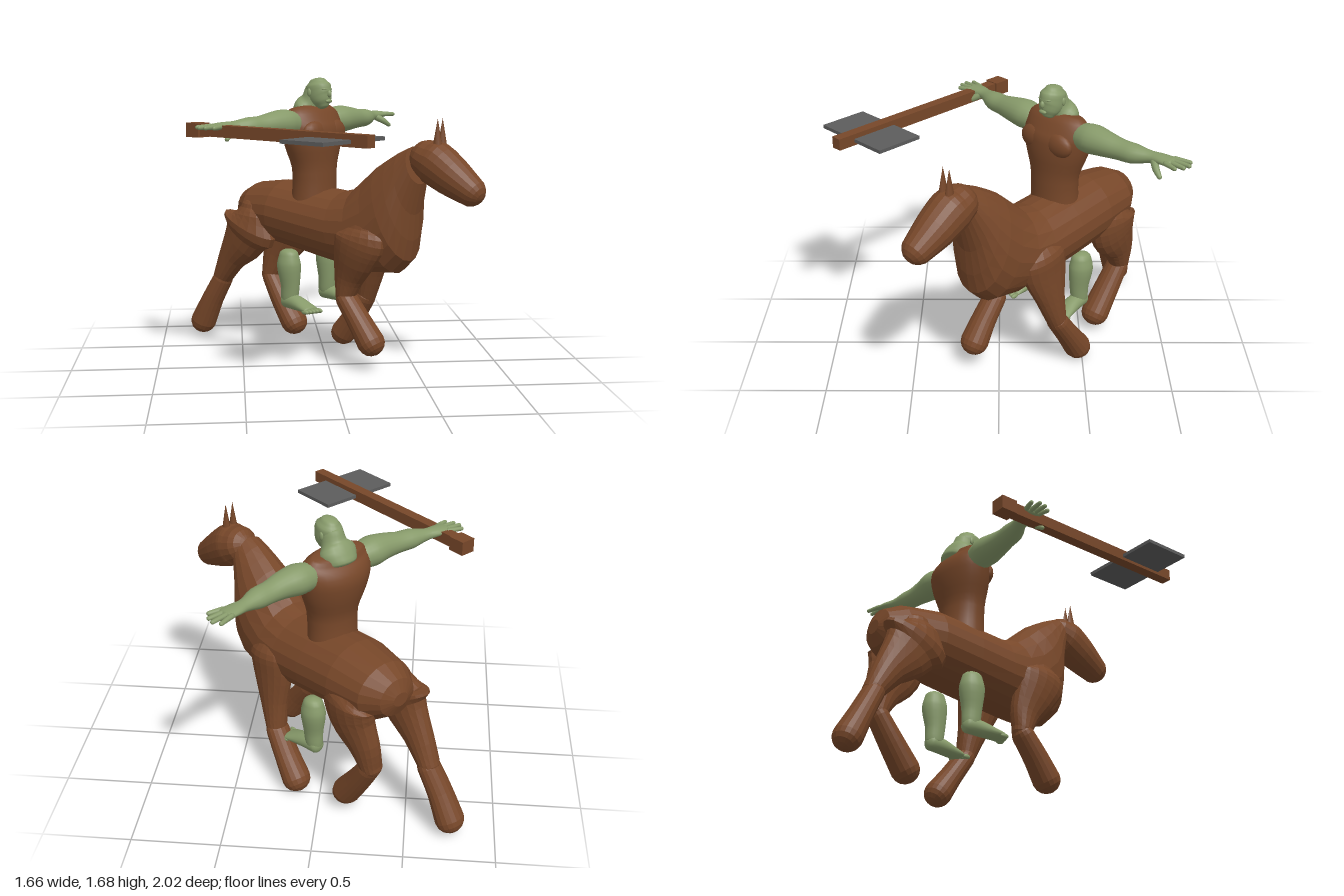
import * as THREE from 'three';

const brown = new THREE.MeshStandardMaterial({ color: 0x774729 });
brown.name = 'brown';
const green = new THREE.MeshStandardMaterial({ color: 0x879a6a });
green.name = 'green skin';
const grey = new THREE.MeshStandardMaterial({ color: 0x5c5c5c });
grey.name = 'dark grey';

const V = (x, y, z) => new THREE.Vector3(x, y, z);

// Closed skin over elliptical rings { c, a, b }: centre and two half axes
function loft(rings, n, flat) {
  const pos = [], idx = [];
  for (const { c, a, b } of rings) {
    for (let j = 0; j < n; j++) {
      const t = (j / n) * Math.PI * 2;
      pos.push(...c.clone().addScaledVector(a, Math.cos(t)).addScaledVector(b, Math.sin(t)));
    }
  }
  const last = rings.length - 1, s = pos.length / 3;
  pos.push(...rings[0].c, ...rings[last].c);
  for (let j = 0; j < n; j++) {
    const k = (j + 1) % n;
    idx.push(s, k, j, s + 1, last * n + j, last * n + k);
    for (let i = 0; i < last; i++) {
      const p = i * n + j, q = i * n + k;
      idx.push(p, q, p + n, q, q + n, p + n);
    }
  }
  let g = new THREE.BufferGeometry();
  g.setAttribute('position', new THREE.Float32BufferAttribute(pos, 3));
  g.setIndex(idx);
  if (flat) g = g.toNonIndexed();
  g.computeVertexNormals();
  return g;
}

// Round-ended limb through stations [x, y, z, radius along ref, other radius]
function limb(stations, { ref = V(1, 0, 0), n = 20, steps = 3, dome = 1, flat = false } = {}) {
  const path = new THREE.CatmullRomCurve3(stations.map(s => V(s[0], s[1], s[2])));
  const size = new THREE.CatmullRomCurve3(stations.map(s => V(s[3], s[4] ?? s[3], 0)));
  const rings = [], count = (stations.length - 1) * steps;
  const add = (t, shift, k) => {
    const T = path.getTangent(t), r = size.getPoint(t);
    const a = ref.clone().addScaledVector(T, -ref.dot(T)).normalize();
    const b = T.clone().cross(a);
    const c = path.getPoint(t).addScaledVector(T, shift * Math.min(r.x, r.y) * dome);
    rings.push({ c, a: a.multiplyScalar(r.x * k), b: b.multiplyScalar(r.y * k) });
  };
  const caps = [1.45, 1.1, 0.75, 0.4];
  caps.forEach(q => add(0, -Math.sin(q), Math.cos(q)));
  for (let i = 0; i <= count; i++) add(i / count, 0, 1);
  caps.reverse().forEach(q => add(1, Math.sin(q), Math.cos(q)));
  return loft(rings, n, flat);
}

function part(parent, name, geometry, material, x = 0, y = 0, z = 0) {
  const m = new THREE.Mesh(geometry, material);
  m.name = name;
  m.position.set(x, y, z);
  parent.add(m);
  return m;
}

function blob(parent, name, material, p, r) {
  const m = part(parent, name, new THREE.SphereGeometry(1, 18, 12), material, ...p);
  m.scale.set(...r);
}

function buildHorse() {
  const horse = new THREE.Group();
  horse.name = 'horse';
  const flat = { flat: true, n: 18 };

  // Body and neck: [bottom z, bottom y, top z, top y, half width]
  const sections = [
    [-0.85, 0.82, -0.85, 0.90, 0.05], [-0.82, 0.75, -0.82, 0.97, 0.12],
    [-0.72, 0.68, -0.72, 1.02, 0.19], [-0.50, 0.65, -0.50, 1.05, 0.225],
    [-0.25, 0.615, -0.25, 1.03, 0.23], [0.0, 0.58, -0.04, 1.015, 0.23],
    [0.20, 0.555, 0.06, 1.04, 0.225], [0.36, 0.57, 0.15, 1.12, 0.21],
    [0.44, 0.65, 0.23, 1.19, 0.195], [0.46, 0.77, 0.31, 1.24, 0.17],
    [0.47, 0.92, 0.38, 1.28, 0.14], [0.51, 1.10, 0.45, 1.31, 0.105],
  ];
  const body = sections.map(([bz, by, tz, ty, w]) => ({
    c: V(0.01, (by + ty) / 2, (bz + tz) / 2),
    a: V(w, 0, 0),
    b: V(0, (ty - by) / 2, (tz - bz) / 2),
  }));
  part(horse, 'horse body', loft(body, 20, true), brown);

  // Head and ears
  part(horse, 'horse head', limb([
    [0.035, 1.24, 0.54, 0.112, 0.11], [0.035, 1.22, 0.59, 0.12, 0.128],
    [0.035, 1.155, 0.70, 0.112, 0.115], [0.035, 1.085, 0.82, 0.088, 0.087],
  ], flat), brown);
  for (const s of [-1, 1]) {
    const ear = part(horse, 'horse ear', new THREE.ConeGeometry(0.026, 0.18, 8), brown, 0.035 + s * 0.024, 1.385, 0.615);
    ear.scale.z = 1.35;
  }

  // Legs: upper and lower stations for a gallop
  const legs = {
    rightHind: [
      [[-0.14, 0.87, -0.66, 0.06, 0.09], [-0.15, 0.8, -0.665, 0.09, 0.165], [-0.15, 0.7, -0.71, 0.09, 0.165], [-0.15, 0.55, -0.83, 0.075, 0.1], [-0.15, 0.41, -0.92, 0.065, 0.062]],
      [[-0.15, 0.39, -0.925, 0.07, 0.06], [-0.17, 0.25, -1.0, 0.076, 0.066], [-0.18, 0.1, -1.075, 0.085, 0.08]]],
    leftHind: [
      [[0.15, 0.84, -0.61, 0.06, 0.12], [0.155, 0.78, -0.6, 0.09, 0.185], [0.15, 0.69, -0.62, 0.09, 0.17], [0.13, 0.54, -0.7, 0.075, 0.11], [0.11, 0.41, -0.74, 0.065, 0.062]],
      [[0.11, 0.39, -0.73, 0.07, 0.06], [0.105, 0.25, -0.635, 0.08, 0.07], [0.105, 0.12, -0.54, 0.088, 0.08]]],
    rightFront: [
      [[-0.15, 0.83, 0.2, 0.06, 0.14], [-0.16, 0.77, 0.195, 0.085, 0.18], [-0.16, 0.69, 0.17, 0.082, 0.155], [-0.14, 0.54, 0.11, 0.07, 0.1], [-0.14, 0.43, 0.085, 0.062, 0.06]],
      [[-0.14, 0.4, 0.095, 0.07, 0.062], [-0.14, 0.28, 0.19, 0.076, 0.07], [-0.135, 0.17, 0.27, 0.085, 0.08]]],
    leftFront: [
      [[0.17, 0.86, 0.05, 0.05, 0.09], [0.185, 0.78, 0.04, 0.085, 0.165], [0.19, 0.69, 0.025, 0.082, 0.155], [0.21, 0.5, -0.01, 0.07, 0.095], [0.225, 0.35, -0.045, 0.062, 0.06]],
      [[0.225, 0.33, -0.055, 0.07, 0.06], [0.23, 0.2, -0.145, 0.076, 0.066], [0.23, 0.08, -0.23, 0.085, 0.079]]],
  };
  for (const [name, [upper, lower]] of Object.entries(legs)) {
    part(horse, name + 'UpperLeg', limb(upper, flat), brown);
    part(horse, name + 'LowerLeg', limb(lower, flat), brown);
  }
  return horse;
}

function buildRider() {
  const rider = new THREE.Group();
  rider.name = 'rider';
  rider.position.x = -0.012;

  // Sleeveless top with chest
  part(rider, 'sleeveless top', limb([
    [0, 0.92, -0.27, 0.155, 0.13], [0, 1.05, -0.265, 0.148, 0.12], [0, 1.15, -0.265, 0.155, 0.12],
    [0, 1.28, -0.275, 0.2, 0.142], [0, 1.38, -0.285, 0.222, 0.145], [0, 1.46, -0.29, 0.215, 0.105],
    [0, 1.5, -0.3, 0.175, 0.07],
  ], { n: 28, dome: 0.2 }), brown);

  // Neck, head and face
  part(rider, 'neck', limb([
    [0, 1.455, -0.32, 0.1, 0.09], [0, 1.51, -0.3, 0.112, 0.08],
    [0, 1.55, -0.275, 0.07, 0.07], [0, 1.61, -0.255, 0.058, 0.065],
  ], { dome: 0.3 }), green);
  part(rider, 'head', limb([
    [0, 1.515, -0.195, 0.036, 0.035], [0, 1.54, -0.205, 0.056, 0.062], [0, 1.58, -0.225, 0.066, 0.083],
    [0, 1.63, -0.235, 0.066, 0.082], [0, 1.66, -0.24, 0.044, 0.055],
  ], { dome: 0.45 }), green);
  blob(rider, 'brow', green, [0, 1.615, -0.168], [0.045, 0.011, 0.018]);
  blob(rider, 'nose', green, [0, 1.588, -0.15], [0.014, 0.022, 0.016]);
  blob(rider, 'mouth', green, [0, 1.545, -0.152], [0.026, 0.012, 0.013]);

  for (const s of [-1, 1]) {
    blob(rider, 'ear', green, [s * 0.066, 1.595, -0.25], [0.009, 0.024, 0.015]);
    blob(rider, 'chest muscle', brown, [s * 0.085, 1.36, -0.19], [0.1, 0.075, 0.05]);

    // Outstretched arm and hand
    const across = { ref: V(0, 0, 1) };
    part(rider, 'arm', limb([
      [s * 0.2, 1.415, -0.285, 0.08, 0.078], [s * 0.26, 1.42, -0.285, 0.09, 0.083],
      [s * 0.35, 1.42, -0.285, 0.077, 0.072], [s * 0.45, 1.415, -0.295, 0.063, 0.058],
      [s * 0.53, 1.415, -0.305, 0.062, 0.055], [s * 0.63, 1.42, -0.33, 0.039, 0.032],
      [s * 0.69, 1.424, -0.34, 0.048, 0.026], [s * 0.75, 1.425, -0.345, 0.055, 0.02],
    ], across), green);
    for (let i = 0; i < 4; i++) {
      const z = (i - 1.5) * 0.028;
      const tip = [0.825, 0.848, 0.842, 0.815][i];
      part(rider, 'finger', limb([
        [s * 0.745, 1.427, -0.345 + z, 0.015], [s * tip, 1.424, -0.35 + z * 1.45, 0.012],
      ], { ...across, n: 10 }), green);
    }
    part(rider, 'thumb', limb([
      [s * 0.66, 1.415, -0.315, 0.022], [s * 0.705, 1.385, -0.28, 0.019], [s * 0.74, 1.36, -0.265, 0.013],
    ], { ...across, n: 10 }), green);

    // Lower leg, foot and toes
    part(rider, 'rider leg', limb([
      [s * 0.18, 0.625, -0.315, 0.055, 0.062], [s * 0.18, 0.56, -0.315, 0.068, 0.076],
      [s * 0.175, 0.44, -0.31, 0.054, 0.06], [s * 0.175, 0.355, -0.315, 0.048, 0.054],
    ], { dome: 0.7 }), green);
    part(rider, 'foot', limb([
      [s * 0.175, 0.345, -0.335, 0.046, 0.048], [s * 0.182, 0.338, -0.25, 0.05, 0.044],
      [s * 0.198, 0.316, -0.13, 0.056, 0.021],
    ], { dome: 0.7 }), green);
    for (let i = 0; i < 5; i++) {
      blob(rider, 'toe', green, [s * (0.155 + i * 0.022), 0.309, -0.1 - i * 0.008], [0.013, 0.014, 0.028]);
    }
  }
  return rider;
}

function buildHammer() {
  const hammer = new THREE.Group();
  hammer.name = 'hammer';
  hammer.position.set(-0.735, 1.4, 0);
  part(hammer, 'hammer handle', new THREE.BoxGeometry(0.062, 0.066, 1.24), brown, 0, 0.002, 0.11);
  part(hammer, 'hammer pommel', new THREE.BoxGeometry(0.09, 0.08, 0.1), brown, 0, 0, -0.515);
  part(hammer, 'hammer head', new THREE.BoxGeometry(0.5, 0.02, 0.285), grey, 0, -0.003, 0.485);
  return hammer;
}

export function createModel() {
  const model = new THREE.Group();
  model.name = 'mounted rider';
  // Everything faces diagonally between front and left
  const turned = new THREE.Group();
  turned.name = 'turned figure';
  turned.rotation.y = Math.PI / 4;
  turned.position.set(0.141, 0, -0.141);
  turned.add(buildHorse(), buildRider(), buildHammer());
  model.add(turned);
  return model;
}
